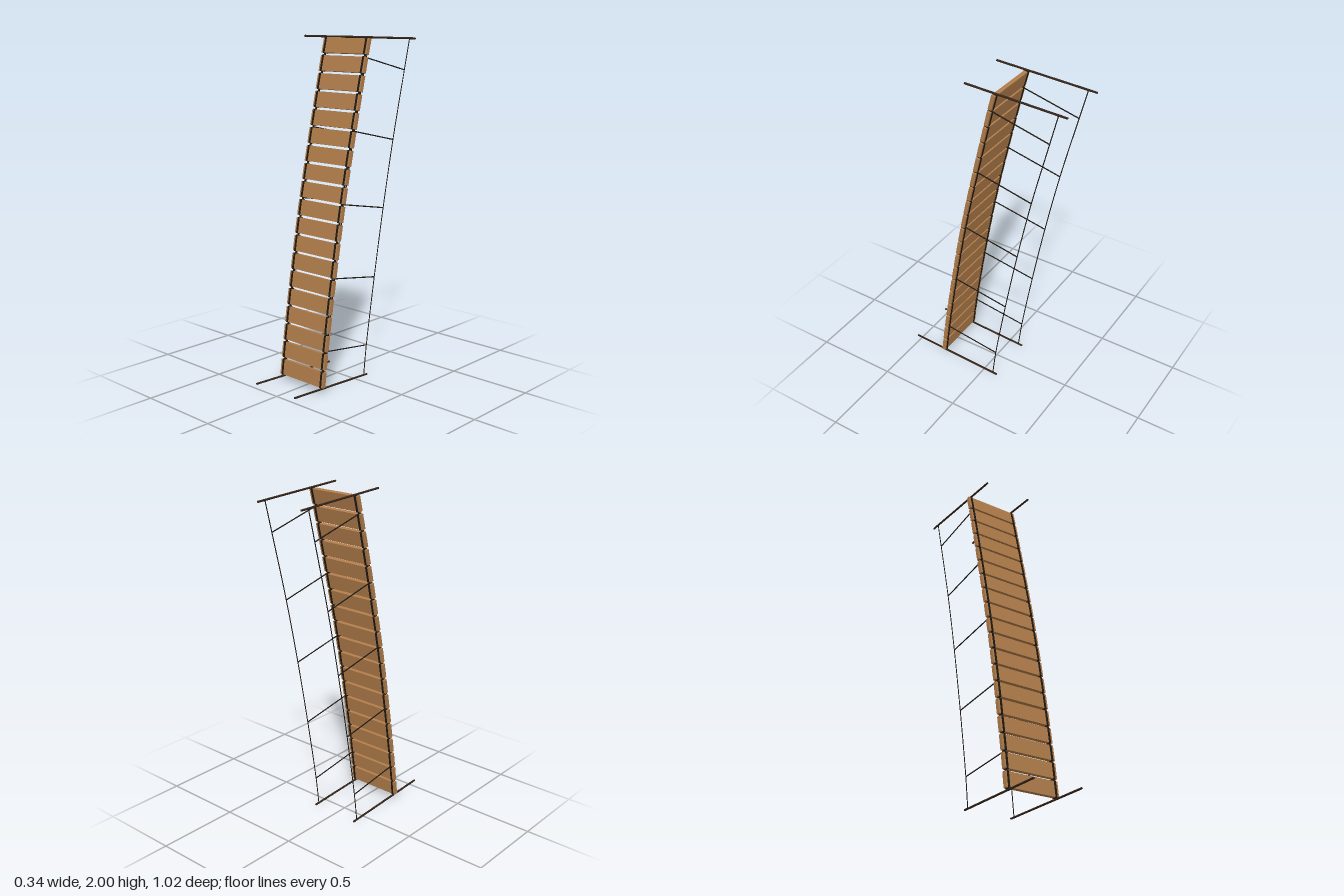
import * as THREE from 'three';

const paint = (color) => new THREE.MeshStandardMaterial({ color });
const SIDE_X = 0.154;
const PLANKS = 19;
const PLANK = { width: 0.345, length: 0.09, depth: 0.022 };

// smooth curve in the side plane from [y, z] points
const sideCurve = (points) =>
  new THREE.CatmullRomCurve3(points.map(([y, z]) => new THREE.Vector3(0, y, z)));

export function createModel() {
  const model = new THREE.Group();
  const wood = paint(0xb07c4a);
  const postWood = paint(0x35251a);
  const ropeColor = paint(0x1f1812);

  const deck = sideCurve([[0.035, 0.294], [0.24, 0.267], [0.655, 0.201], [1.07, 0.125], [1.475, 0.036], [1.88, -0.06], [1.982, -0.086]]);
  const rail = sideCurve([[0.012, -0.068], [0.19, -0.09], [0.595, -0.157], [1.0, -0.232], [1.395, -0.315], [1.795, -0.412], [1.978, -0.457]]);

  const add = (parent, name, geometry, material) => {
    const mesh = new THREE.Mesh(geometry, material);
    mesh.name = name;
    parent.add(mesh);
    return mesh;
  };

  // straight round bar between two [y, z] points
  const bar = (parent, name, a, b, radius, material) => {
    const from = new THREE.Vector3(0, ...a);
    const to = new THREE.Vector3(0, ...b);
    const dir = to.clone().sub(from);
    const mesh = add(parent, name, new THREE.CylinderGeometry(radius, radius, dir.length(), 8), material);
    mesh.position.copy(from).add(to).multiplyScalar(0.5);
    mesh.quaternion.setFromUnitVectors(new THREE.Vector3(0, 1, 0), dir.normalize());
  };

  // planks laid along the sagging deck curve, each bound by a rope at both ends
  const length = deck.getLength();
  const plankGeometry = new THREE.BoxGeometry(PLANK.width, PLANK.length, PLANK.depth);
  const bindingGeometry = new THREE.BoxGeometry(0.012, PLANK.length + 0.005, PLANK.depth + 0.006);
  for (let i = 0; i < PLANKS; i++) {
    const u = (PLANK.length / 2 + (i * (length - PLANK.length)) / (PLANKS - 1)) / length;
    const slat = new THREE.Group();
    slat.name = 'slat';
    slat.position.copy(deck.getPointAt(u));
    const tangent = deck.getTangentAt(u);
    slat.rotation.x = Math.atan2(tangent.z, tangent.y);
    add(slat, 'plank', plankGeometry, wood);
    for (const s of [-1, 1]) {
      add(slat, 'plankBinding', bindingGeometry, ropeColor).position.x = s * SIDE_X;
    }
    model.add(slat);
  }

  // posts, deck rope, hand rope and hangers, the same on both sides
  for (const s of [-1, 1]) {
    const side = new THREE.Group();
    side.name = s > 0 ? 'leftSide' : 'rightSide';
    side.position.x = s * SIDE_X;
    bar(side, 'upperPost', [1.994, 0.1], [1.974, -0.508], 0.006, postWood);
    bar(side, 'lowerPost', [0.036, 0.51], [0.006, -0.095], 0.006, postWood);
    add(side, 'deckRope', new THREE.TubeGeometry(deck, 48, 0.006, 8), ropeColor);
    add(side, 'handRope', new THREE.TubeGeometry(rail, 48, 0.0028, 6), ropeColor);
    for (let i = 1; i <= 5; i++) {
      const a = deck.points[i];
      const b = rail.points[i];
      bar(side, 'hanger', [a.y, a.z], [b.y, b.z], 0.0035, ropeColor);
    }
    model.add(side);
  }
  return model;
}
